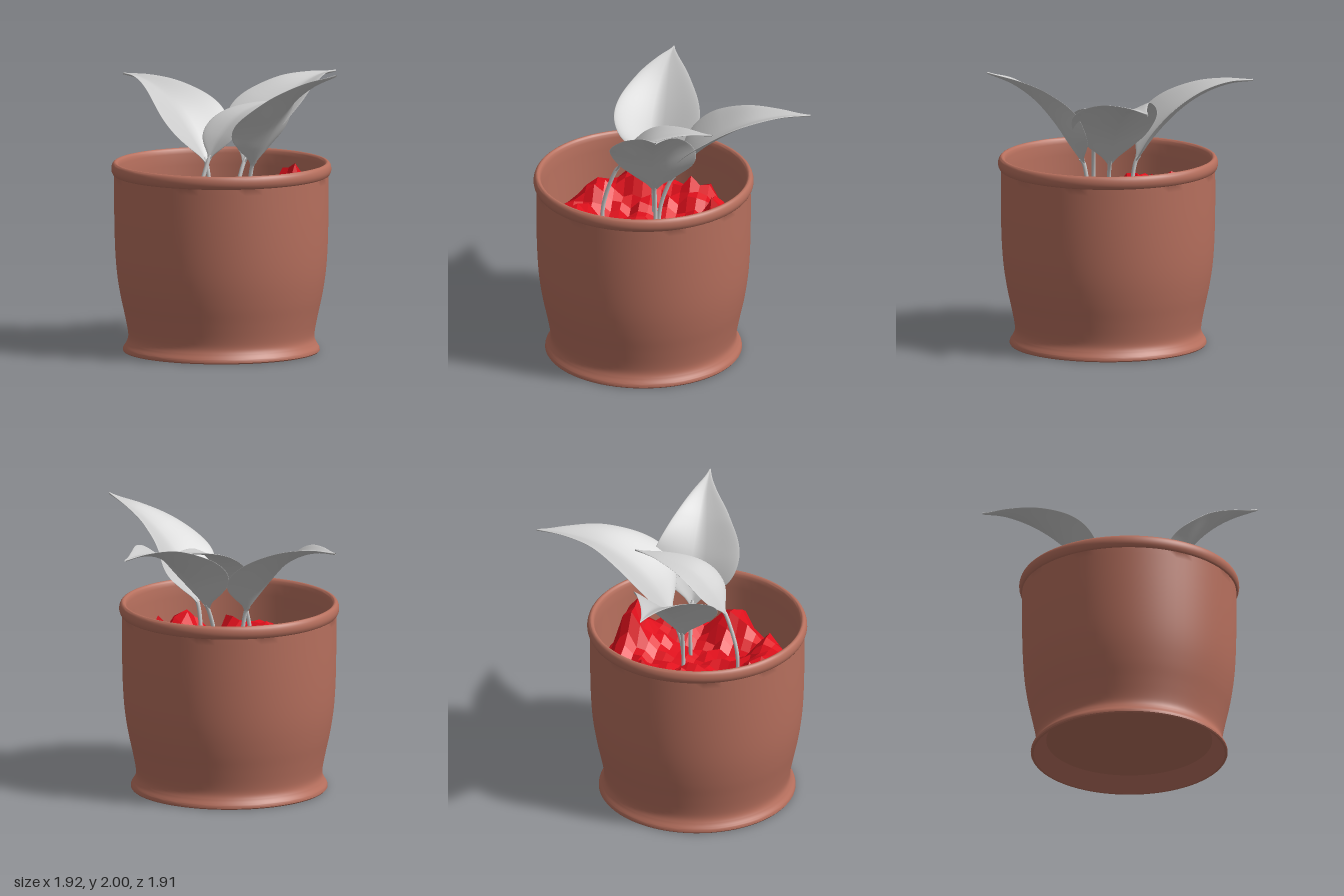
import * as THREE from 'three';
import { toCreasedNormals } from 'three/addons/utils/BufferGeometryUtils.js';

const CX = -0.205, CZ = 0.06; // pot axis
const clay = new THREE.MeshStandardMaterial({ color: 0xb66f5d });
const grey = new THREE.MeshStandardMaterial({ color: 0xcccccc, side: THREE.DoubleSide });
const red = new THREE.MeshStandardMaterial({ color: 0xe0101c });

const named = (name, geometry, material) => {
  const mesh = new THREE.Mesh(geometry, material);
  mesh.name = name;
  return mesh;
};
const curve = (pts) => new THREE.CatmullRomCurve3(pts.map((p) => new THREE.Vector3(...p)));
const spline = (pts, n) => new THREE.SplineCurve(pts.map((p) => new THREE.Vector2(...p))).getPoints(n);

// Pot: recessed underside, flared foot, bellied wall, rounded rim, inner wall and floor
function makePot() {
  const base = [[0, 0.1], [0.575, 0.1], [0.662, 0], [0.676, 0]].map((p) => new THREE.Vector2(...p));
  const wall = spline([
    [0.682, 0.008], [0.678, 0.028], [0.658, 0.06], [0.645, 0.1], [0.65, 0.16], [0.672, 0.27], [0.7, 0.4],
    [0.723, 0.55], [0.736, 0.72], [0.742, 0.95], [0.742, 1.23],
  ], 44);
  const rim = spline([[0.75, 1.234], [0.76, 1.255], [0.762, 1.28], [0.755, 1.305], [0.742, 1.319], [0.728, 1.319], [0.716, 1.305]], 14);
  const inside = [[0.711, 1.28], [0.706, 1.2], [0.7, 0.9], [0.66, 0.4], [0.6, 0.2], [0, 0.2]].map((p) => new THREE.Vector2(...p));
  const profile = [...base, ...wall, ...rim, ...inside];
  const pot = named('pot', toCreasedNormals(new THREE.LatheGeometry(profile, 72), 0.7), clay);
  pot.position.set(CX, 0, CZ);
  return pot;
}

// Soil: jagged mound, a grid of random heights clipped to the pot wall, one flat facet per cell
function makeSoil() {
  let seed = 11;
  const rand = () => (seed = (seed * 16807) % 2147483647) / 2147483647;
  const R = 0.702;
  const peaks = [ // x, z, height, spread
    [0.34, 0.2, 0.32, 0.12], [-0.3, -0.38, 0.27, 0.14], [-0.28, 0.56, 0.22, 0.11], [0.1, -0.3, 0.18, 0.11],
    [-0.68, 0.15, 0.16, 0.1], [0.1, 0.5, 0.18, 0.1], [-0.6, -0.2, 0.16, 0.1], [-0.62, 0.4, 0.13, 0.09],
  ];
  const grid = new THREE.PlaneGeometry(1.42, 1.42, 22, 22).rotateX(-Math.PI / 2);
  const pos = grid.attributes.position;
  for (let i = 0; i < pos.count; i++) {
    const x = pos.getX(i), z = pos.getZ(i), r = Math.hypot(x, z);
    let y = 0.89 + 0.08 * rand();
    for (const [px, pz, h, s] of peaks) {
      const d2 = (x + CX - px) ** 2 + (z + CZ - pz) ** 2;
      y += h * Math.exp(-d2 / (2 * s * s)) * (0.75 + 0.5 * rand());
    }
    if (r > R - 0.08) y = 0.85 + (y - 0.88) * 0.4;
    const k = Math.min(1, R / r);
    pos.setXYZ(i, x * k, Math.min(y, 1.28), z * k);
  }
  const geo = grid.toNonIndexed();
  geo.computeVertexNormals();
  const normals = geo.attributes.normal;
  for (let i = 0; i < normals.count; i += 6) {
    const n = new THREE.Vector3().fromBufferAttribute(normals, i);
    n.add(new THREE.Vector3().fromBufferAttribute(normals, i + 3)).normalize();
    for (let j = 0; j < 6; j++) normals.setXYZ(i + j, n.x, n.y, n.z);
  }
  const soil = named('soil', geo, red);
  soil.position.set(CX, 0, CZ);
  return soil;
}

// Half-width along the blade, as a fraction of the widest point
const widths = spline([
  [0, 0.05], [0.05, 0.2], [0.11, 0.52], [0.19, 0.85], [0.3, 1], [0.43, 0.93],
  [0.62, 0.62], [0.8, 0.29], [0.92, 0.1], [1, 0.015],
], 90);
function widthAt(u) {
  const i = Math.max(1, widths.findIndex((p) => p.x >= u - 1e-6));
  const a = widths[i - 1], b = widths[i];
  return a.y + ((b.y - a.y) * (u - a.x)) / (b.x - a.x);
}

// Leaf blade: thin lens-shaped sections swept along the midrib, edges cupped upwards
function bladeGeometry(midrib, halfWidth, cup) {
  const rows = 40, ring = 40, pos = [], index = [];
  const up = new THREE.Vector3(0, 1, 0);
  for (let i = 0; i <= rows; i++) {
    const u = i / rows;
    const p = midrib.getPointAt(u), t = midrib.getTangentAt(u);
    const side = t.clone().cross(up).normalize();
    const normal = side.clone().cross(t).normalize();
    const w = widthAt(u) * halfWidth;
    for (let j = 0; j < ring; j++) {
      const angle = (j / ring) * Math.PI * 2;
      const v = Math.cos(angle), a = Math.abs(v);
      // soft groove at the midrib, slightly rolled edge
      const lift = w * cup * (0.55 * a + 0.75 * a * a - 0.3 * a ** 4) + 0.007 * Math.sin(angle);
      const q = p.clone().addScaledVector(side, v * w).addScaledVector(normal, lift);
      pos.push(q.x, q.y, q.z);
      if (i < rows) {
        const k = i * ring + j, m = i * ring + ((j + 1) % ring);
        index.push(k, k + ring, m, m, k + ring, m + ring);
      }
    }
  }
  const geo = new THREE.BufferGeometry();
  geo.setAttribute('position', new THREE.Float32BufferAttribute(pos, 3));
  geo.setIndex(index);
  geo.computeVertexNormals();
  return geo;
}

function makeLeaf({ name, rib, stem, halfWidth, cup }) {
  const leaf = new THREE.Group();
  leaf.name = name;
  const midrib = curve(rib);
  const stemCurve = curve([...stem, rib[0], midrib.getPointAt(0.04).toArray()]);
  leaf.add(named('blade', bladeGeometry(midrib, halfWidth, cup), grey));
  leaf.add(named('stem', new THREE.TubeGeometry(stemCurve, 24, 0.014, 8), grey));
  return leaf;
}

const leaves = [
  {
    name: 'backLeaf', halfWidth: 0.3, cup: 0.33,
    stem: [[-0.165, 0.85, -0.11], [-0.165, 1.1, -0.1]],
    rib: [[-0.17, 1.29, -0.13], [-0.175, 1.47, -0.26], [-0.18, 1.64, -0.43], [-0.185, 1.755, -0.61], [-0.19, 1.815, -0.79], [-0.19, 1.83, -0.955]],
  },
  {
    name: 'leftLeaf', halfWidth: 0.3, cup: 0.33,
    stem: [[-0.1, 0.85, 0.08], [-0.08, 1.1, 0.08]],
    rib: [[-0.01, 1.3, 0.08], [0.16, 1.52, 0.078], [0.33, 1.66, 0.07], [0.54, 1.775, 0.05], [0.75, 1.825, 0.01], [0.955, 1.835, -0.03]],
  },
  {
    name: 'frontLeaf', halfWidth: 0.298, cup: 0.33,
    stem: [[-0.09, 0.85, 0.23], [-0.09, 1.1, 0.22]],
    rib: [[-0.09, 1.3, 0.25], [-0.08, 1.43, 0.34], [-0.065, 1.61, 0.46], [-0.03, 1.775, 0.6], [0.015, 1.9, 0.76], [0.055, 1.99, 0.95]],
  },
  {
    name: 'smallLeaf', halfWidth: 0.178, cup: 0.15,
    stem: [[-0.485, 0.85, 0.12], [-0.475, 1.1, 0.12]],
    rib: [[-0.39, 1.36, 0.13], [-0.27, 1.52, 0.135], [-0.12, 1.64, 0.14], [0.08, 1.7, 0.15], [0.3, 1.71, 0.165]],
  },
];

export function createModel() {
  const model = new THREE.Group();
  model.name = 'pottedPlant';
  model.add(makePot(), makeSoil(), ...leaves.map(makeLeaf));
  return model;
}
